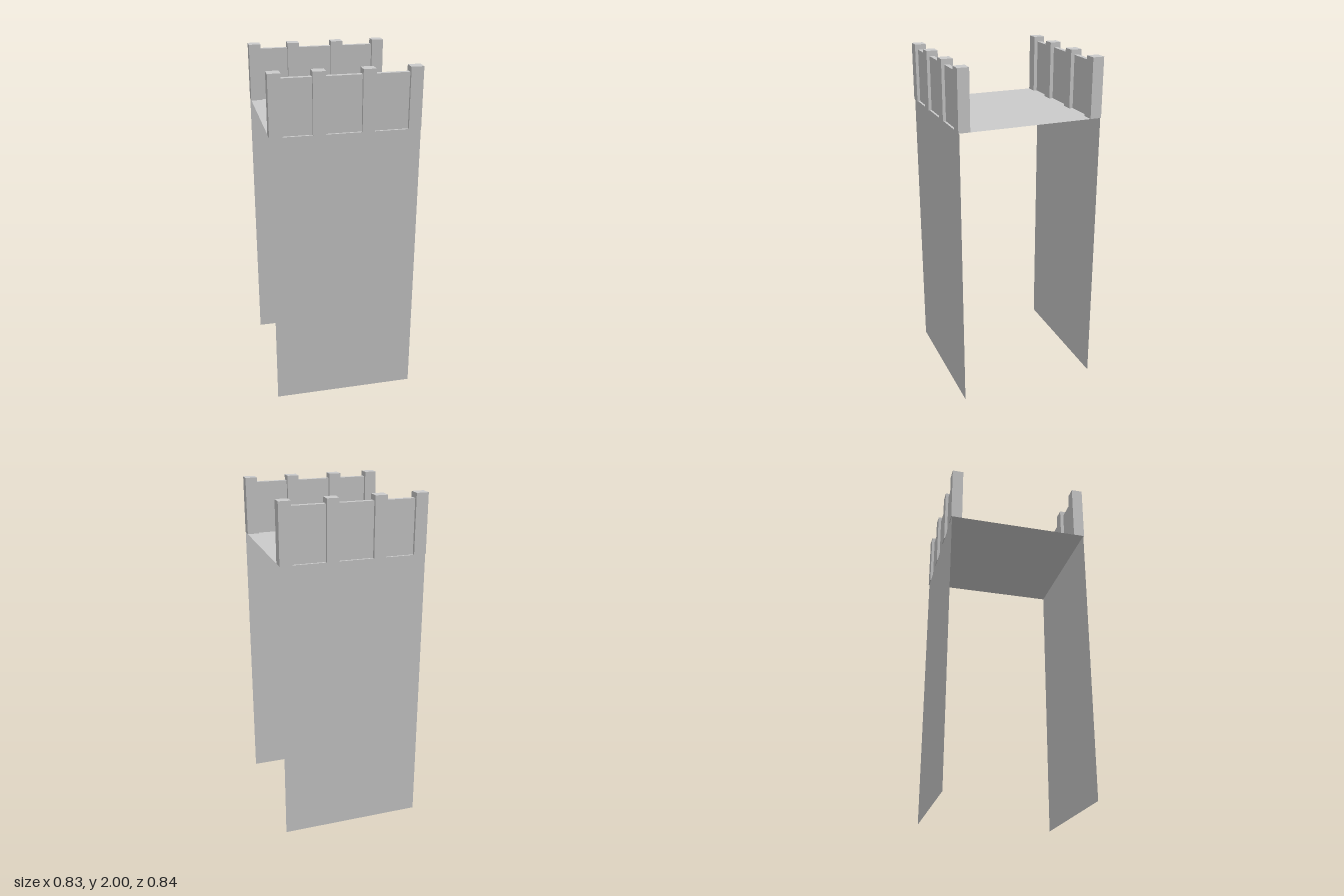
import * as THREE from 'three';

export function createModel() {
  const group = new THREE.Group();
  const solid = new THREE.MeshStandardMaterial({ color: 0xcccccc, flatShading: true });
  const sheet = new THREE.MeshStandardMaterial({ color: 0xcccccc, flatShading: true, side: THREE.DoubleSide });
  const width = 0.832, deckY = 1.66, wallZ = 0.415;

  function add(name, geometry, material, x, y, z) {
    const mesh = new THREE.Mesh(geometry, material);
    mesh.name = name;
    mesh.position.set(x, y, z);
    group.add(mesh);
    return mesh;
  }

  // flat deck between the two walls
  const deck = new THREE.PlaneGeometry(width, 2 * wallZ).rotateX(-Math.PI / 2);
  add('deck', deck, sheet, 0, deckY, 0);

  // post centres, unevenly spaced
  const posts = [-0.382, -0.147, 0.122, 0.381];
  const postW = 0.07, postH = 2 - deckY, panelH = 1.97 - deckY;

  for (const [side, s] of [['front', 1], ['back', -1]]) {
    // thin open wall
    const wall = add(side + 'Wall', new THREE.PlaneGeometry(width, deckY), sheet, 0, deckY / 2, s * wallZ);
    if (s < 0) wall.rotation.y = Math.PI;

    // parapet posts with recessed panels between them
    posts.forEach((x, i) => {
      add(side + 'Post', new THREE.BoxGeometry(postW, postH, 0.066), solid, x, deckY + postH / 2, s * 0.387);
      if (i === 0) return;
      const x0 = posts[i - 1] + postW / 2, x1 = x - postW / 2;
      add(side + 'Panel', new THREE.BoxGeometry(x1 - x0, panelH, 0.027), solid,
        (x0 + x1) / 2, deckY + panelH / 2, s * 0.389);
    });
  }
  return group;
}
